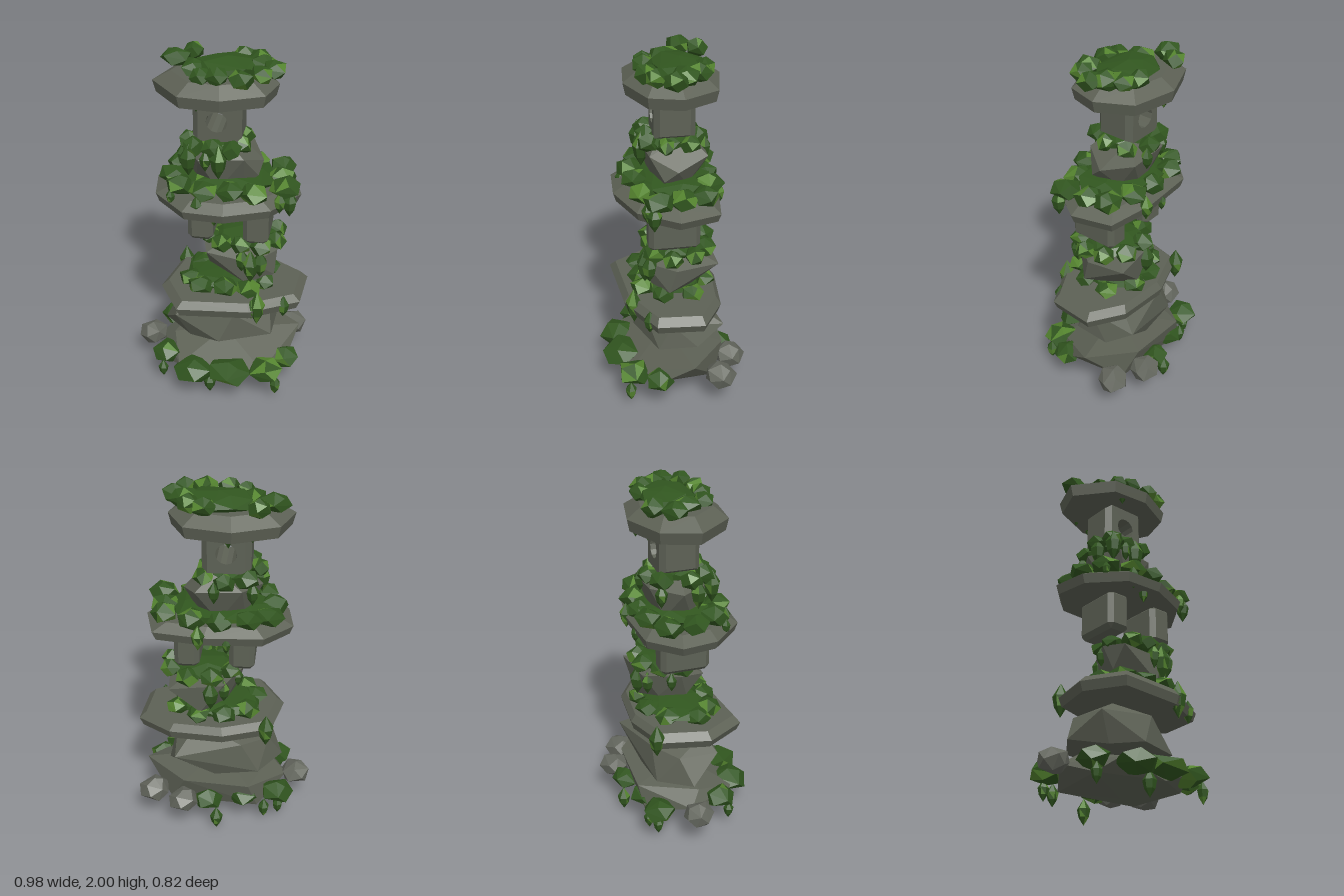
import * as THREE from 'three';
import { ConvexGeometry } from 'three/addons/geometries/ConvexGeometry.js';

const mat = (name, color) => {
  const m = new THREE.MeshStandardMaterial({ color });
  m.name = name;
  return m;
};

export function createModel() {
  const stone = mat('mossy stone', 0x5d6155);
  const pebble = mat('grey pebble', 0x63665d);
  const leafDark = mat('dark leaf', 0x31561f);
  const leafLight = mat('light leaf', 0x55852f);
  const root = new THREE.Group();
  root.name = 'stoneTower';

  let seed = 11;
  const rnd = () => {
    seed = (seed * 16807) % 2147483647;
    return seed / 2147483647;
  };
  const add = (name, geometry, material, parent = root) => {
    const mesh = new THREE.Mesh(geometry, material);
    mesh.name = name;
    parent.add(mesh);
    return mesh;
  };
  const hull = pts => new ConvexGeometry(pts.map(p => new THREE.Vector3(...p)));

  // Faceted boulders
  add('baseRock', hull([
    [0.03, 0.08, 0.0], [-0.28, 0.13, 0.17], [0.1, 0.13, 0.27], [0.34, 0.14, 0.12], [0.3, 0.13, -0.22],
    [-0.2, 0.13, -0.25], [-0.36, 0.2, -0.02], [-0.2, 0.2, 0.28], [0.28, 0.2, 0.26], [0.42, 0.22, 0.05],
    [0.46, 0.31, -0.08], [0.22, 0.3, -0.28], [-0.15, 0.28, -0.28], [-0.27, 0.26, 0.05], [0.03, 0.31, 0.03],
  ]), stone);
  add('lowerBoulder', hull([
    [-0.33, 0.33, 0.0], [-0.16, 0.31, 0.13], [0.02, 0.34, 0.21], [0.31, 0.35, 0.1], [0.32, 0.35, -0.12],
    [0.05, 0.3, -0.2], [-0.2, 0.32, -0.18], [-0.25, 0.48, -0.06], [-0.24, 0.47, 0.17], [-0.13, 0.54, 0.12],
    [0.1, 0.51, 0.17], [0.29, 0.49, 0.02], [0.27, 0.46, -0.275], [-0.1, 0.5, -0.18], [0.0, 0.575, 0.03],
    [0.16, 0.57, -0.08],
  ]), stone);
  add('middleBoulder', hull([
    [-0.06, 0.78, 0.04], [0.1, 0.69, 0.05], [0.2, 0.7, -0.08], [0.31, 0.73, 0.04], [0.16, 0.73, 0.15],
    [-0.01, 0.77, -0.11], [0.13, 0.73, -0.2], [-0.1, 0.92, 0.0], [-0.06, 0.9, 0.14], [0.2, 0.87, 0.16],
    [0.32, 0.87, 0.0], [0.3, 0.89, -0.23], [0.0, 0.91, -0.2], [0.1, 0.96, 0.0],
  ]), stone);
  add('upperBoulder', hull([
    [-0.13, 1.31, 0.04], [0.0, 1.28, 0.1], [0.14, 1.31, 0.06], [0.14, 1.31, -0.08], [0.03, 1.28, -0.13],
    [-0.11, 1.31, -0.1], [-0.2, 1.46, -0.02], [-0.1, 1.47, 0.15], [0.14, 1.48, 0.12], [0.23, 1.42, -0.02],
    [0.21, 1.36, 0.05], [0.15, 1.47, -0.19], [-0.1, 1.48, -0.18], [0.02, 1.57, 0.04], [0.05, 1.56, -0.09],
  ]), stone);

  // Uneven bevelled slabs, one outline lofted through three levels
  const slab = (name, outline, y0, y1, y2, inset) => {
    const c = [0, 1].map(i => outline.reduce((s, p) => s + p[i], 0) / outline.length);
    const pts = [];
    for (const [y, k] of [[y0, 0.95], [y1, 1], [y2, inset]])
      for (const [x, z] of outline) pts.push([c[0] + (x - c[0]) * k, y, c[1] + (z - c[1]) * k]);
    add(name, hull(pts), stone);
  };
  slab('lowerSlab', [[-0.2, 0.32], [-0.33, 0.1], [-0.27, -0.17], [0.0, -0.27], [0.3, -0.25],
    [0.49, -0.13], [0.47, 0.13], [0.2, 0.28]], 0.57, 0.62, 0.66, 0.9);
  slab('middleSlab', [[-0.16, 0.3], [-0.34, 0.12], [-0.37, -0.08], [-0.22, -0.24], [0.1, -0.26],
    [0.38, -0.22], [0.44, 0.0], [0.3, 0.21], [0.06, 0.31]], 1.19, 1.24, 1.28, 0.8);
  slab('topSlab', [[-0.19, 0.22], [-0.36, 0.02], [-0.29, -0.18], [-0.05, -0.28], [0.2, -0.23],
    [0.3, -0.04], [0.25, 0.14], [0.03, 0.24]], 1.79, 1.855, 1.91, 0.72);

  // Pillars with every edge chamfered
  const pillar = (name, x, y, z, w, h, d, b) => {
    const pts = [];
    for (const sx of [-1, 1]) for (const sy of [-1, 1]) for (const sz of [-1, 1])
      for (const [i, j, k] of [[0, 1, 1], [1, 0, 1], [1, 1, 0]])
        pts.push([sx * (w / 2 - b * i), sy * (h / 2 - b * j), sz * (d / 2 - b * k)]);
    add(name, hull(pts), stone).position.set(x, y, z);
  };
  pillar('rightPillar', -0.095, 1.09, 0.005, 0.14, 0.23, 0.28, 0.026);
  pillar('leftPillar', 0.21, 1.09, 0.005, 0.14, 0.23, 0.28, 0.026);

  // Window block: pierced core with a chamfered cheek on each side
  const core = new THREE.Shape([[-0.1, -0.115], [0.1, -0.115], [0.1, 0.115], [-0.1, 0.115]]
    .map(p => new THREE.Vector2(...p)));
  core.holes.push(new THREE.Path().absarc(0, -0.005, 0.057, 0, Math.PI * 2, true));
  const windowBlock = new THREE.Group();
  windowBlock.name = 'windowBlock';
  windowBlock.position.set(-0.01, 1.675, -0.02);
  root.add(windowBlock);
  add('piercedCore', new THREE.ExtrudeGeometry(core, { depth: 0.22, bevelEnabled: false, curveSegments: 6 })
    .translate(0, 0, -0.11), stone, windowBlock);
  for (const s of [-1, 1]) {
    const pts = [];
    for (const sy of [-1, 1]) for (const sz of [-1, 1])
      pts.push([s * 0.1, sy * 0.115, sz * 0.11], [s * 0.13, sy * 0.095, sz * 0.08]);
    add('cheek', hull(pts), stone, windowBlock);
  }

  // Irregular lumps with a point at each pole, for pebbles and foliage
  const lump = (rx, ry, rz, n) => {
    const pts = [], turn = rnd() * 6;
    for (let i = 0; i < n; i++) {
      const y = 1 - (2 * i) / (n - 1), r = Math.sqrt(1 - y * y), a = i * 2.4 + turn, k = 0.98 + rnd() * 0.15;
      pts.push([Math.cos(a) * r * rx * k, y * ry * k, Math.sin(a) * r * rz * k]);
    }
    return hull(pts);
  };
  for (const [x, y, z] of [[-0.415, 0.2, 0], [0.22, 0.2, -0.325], [0.4, 0.2, -0.24]])
    add('pebble', lump(0.086, 0.067, 0.084, 16), pebble).position.set(x, y, z);

  // Some facets take the lighter green, more of them on the left side of the tower
  const leafMesh = (name, g, parent, share) => {
    g.clearGroups();
    for (let i = 0; i < g.attributes.position.count; i += 3) g.addGroup(i, 3, rnd() < share ? 1 : 0);
    return add(name, g, [leafDark, leafLight], parent);
  };
  const lightShare = x => (x > 0.1 ? 0.26 : 0.11);
  // mats and clumps: [x, z, rx, rz]; hanging: [x, top, z, length]
  const foliage = (name, y, height, mats, clumps, hanging) => {
    const group = new THREE.Group();
    group.name = name;
    root.add(group);
    for (const [x, z, rx, rz] of mats)
      leafMesh('leafMat', lump(rx, height * 0.9, rz, 20), group, 0.04).position.set(x, y, z);
    for (const [x, z, rx, rz = rx] of clumps)
      leafMesh('leafClump', lump(rx, height, rz, 13), group, lightShare(x))
        .position.set(x, y + (rnd() - 0.5) * 0.025, z);
    for (const [x, top, z, len] of hanging) {
      const r = Math.min(0.046, len * 0.25);
      const profile = [[0, -len], [r * 0.75, -len * 0.7], [r, -len * 0.4], [0, 0]].map(p => new THREE.Vector2(...p));
      const g = new THREE.LatheGeometry(profile, 6).toNonIndexed();
      g.computeVertexNormals();
      const m = leafMesh('hangingLeaf', g, group, lightShare(x));
      m.position.set(x, top, z);
      m.rotation.y = rnd() * 3;
    }
  };

  foliage('topFoliage', 1.938, 0.05, [[0.03, -0.05, 0.19, 0.14]], [
    [-0.25, -0.09, 0.085, 0.065], [-0.18, -0.18, 0.06], [-0.14, 0, 0.07, 0.09],
    [0.1, -0.17, 0.07, 0.055], [0.18, -0.13, 0.065], [0.27, 0.0, 0.065], [0.22, 0.09, 0.06],
    [0.21, -0.06, 0.08], [0.12, 0.13, 0.07], [0.0, 0.13, 0.06], [-0.09, 0.12, 0.055],
  ], [[-0.1, 1.87, 0.17, 0.11], [-0.03, 1.88, -0.23, 0.13], [0.02, 1.87, -0.21, 0.1], [-0.15, 1.87, -0.2, 0.1]]);

  foliage('upperBoulderFoliage', 1.53, 0.05, [[0, 0, 0.14, 0.14]], [
    [-0.17, 0.03, 0.06], [-0.13, 0.12, 0.06], [-0.03, 0.12, 0.06], [0.07, 0.12, 0.06], [0.12, 0.03, 0.05],
    [0.11, -0.1, 0.06], [0.0, -0.16, 0.06], [-0.12, -0.12, 0.07],
  ], [[-0.19, 1.54, 0.06, 0.17], [-0.15, 1.57, 0.15, 0.19], [0.01, 1.57, 0.15, 0.2], [-0.06, 1.54, 0.15, 0.13],
    [0.05, 1.54, -0.19, 0.13], [-0.15, 1.52, -0.13, 0.14]]);

  foliage('middleSlabFoliage', 1.318, 0.055, [[0.02, -0.01, 0.28, 0.22]], [
    [-0.26, 0.02, 0.08], [-0.2, 0.15, 0.08], [-0.06, 0.2, 0.08], [0.08, 0.2, 0.075], [0.2, 0.16, 0.08],
    [0.36, 0.1, 0.085], [0.33, -0.03, 0.08], [0.32, -0.15, 0.075], [0.17, -0.19, 0.08], [0.02, -0.2, 0.07],
    [-0.13, -0.2, 0.075], [-0.24, -0.12, 0.08],
  ], [[0.39, 1.33, 0.13, 0.16], [0.34, 1.33, 0.16, 0.13], [-0.09, 1.32, 0.25, 0.14], [0, 1.24, 0.23, 0.11],
    [-0.24, 1.32, 0.2, 0.1], [0.13, 1.31, -0.25, 0.15], [-0.02, 1.24, -0.24, 0.1]]);

  foliage('middleBoulderFoliage', 0.95, 0.05, [[0.13, -0.03, 0.17, 0.16]], [
    [-0.05, 0.02, 0.06], [0.02, 0.11, 0.06], [0.13, 0.12, 0.06], [0.24, 0.11, 0.065], [0.31, 0.02, 0.06],
    [0.3, -0.1, 0.06], [0.2, -0.17, 0.065], [0.07, -0.18, 0.065], [-0.03, -0.1, 0.06],
  ], [[0.14, 0.95, 0.15, 0.15], [0.19, 0.95, 0.16, 0.21], [0.24, 0.94, 0.14, 0.17], [0.07, 0.94, -0.21, 0.18],
    [0.0, 0.93, -0.17, 0.14], [-0.07, 0.94, -0.05, 0.12]]);

  foliage('lowerSlabFoliage', 0.695, 0.045, [[0.04, 0, 0.23, 0.2]], [
    [-0.16, 0.08, 0.07], [-0.09, 0.16, 0.075], [0.05, 0.17, 0.075], [0.18, 0.17, 0.07], [0.26, 0.07, 0.06],
    [0.27, -0.09, 0.065], [0.14, -0.18, 0.065], [0.0, -0.17, 0.07], [-0.12, -0.09, 0.075],
  ], [[0.24, 0.73, 0.23, 0.22], [0.21, 0.68, 0.24, 0.13], [0.38, 0.67, 0.16, 0.14], [-0.24, 0.72, -0.19, 0.2]]);

  foliage('baseFoliage', 0.195, 0.06, [], [
    [-0.31, -0.2, 0.095, 0.09], [-0.12, -0.22, 0.09], [0.08, -0.29, 0.08], [-0.29, 0.17, 0.09],
    [-0.11, 0.285, 0.125, 0.12], [0.09, 0.285, 0.125, 0.12], [0.3, 0.24, 0.105, 0.1], [0.4, 0.11, 0.08],
  ], [[-0.31, 0.17, 0.22, 0.12], [-0.24, 0.17, -0.24, 0.13], [-0.02, 0.17, 0.28, 0.15], [0.03, 0.15, -0.32, 0.15],
    [0.36, 0.18, 0.27, 0.13], [-0.32, 0.17, -0.21, 0.12]]);

  return root;
}
